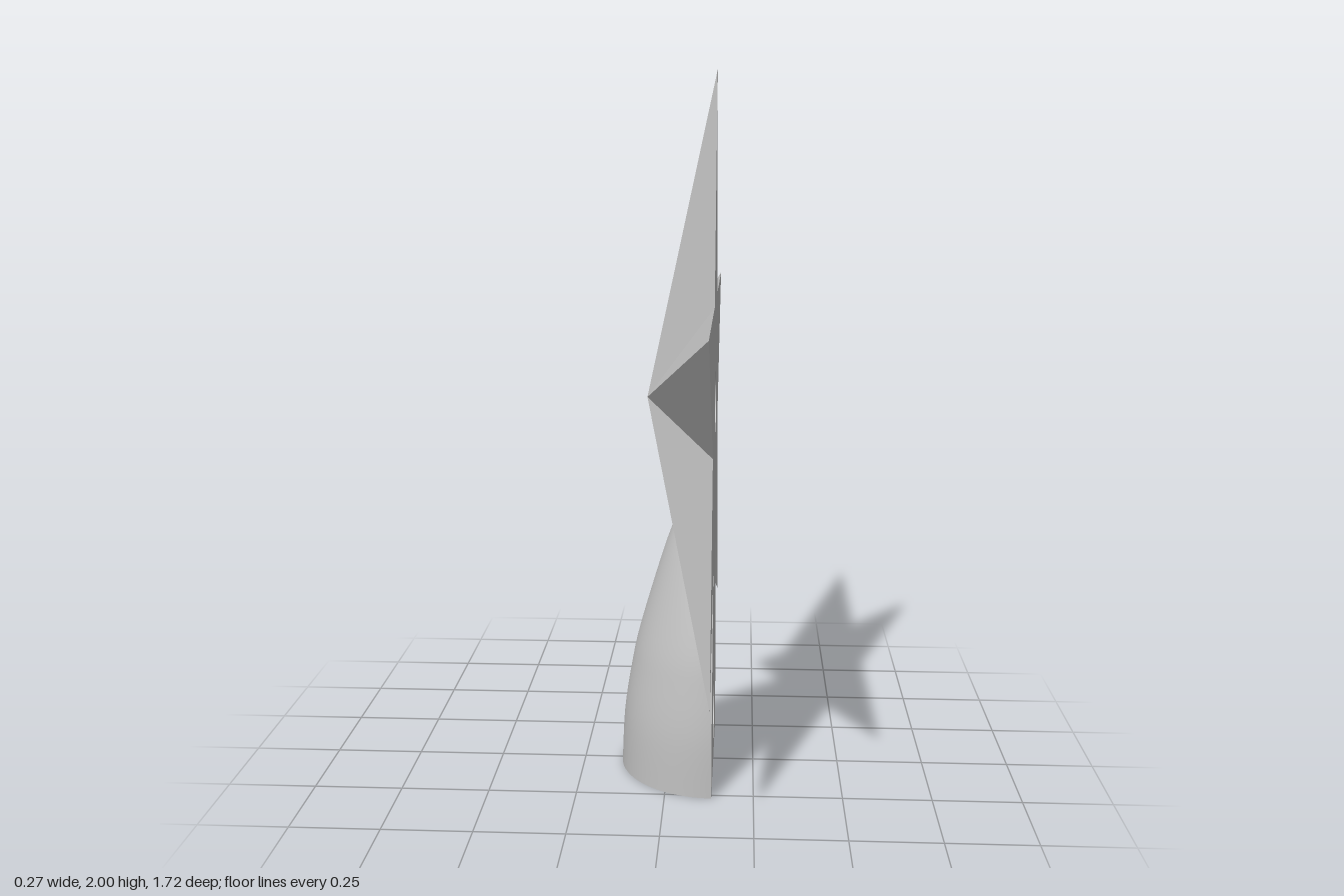
import * as THREE from 'three';
import { toCreasedNormals } from 'three/addons/utils/BufferGeometryUtils.js';

const BACK = 0.132;          // x of the flat mounting plane
const APEX_X = -0.062;       // raised centre of the star
const STAR_Y = 1.095, OUTER = 0.905, INNER = 0.345;
const HOLE_R = 0.087, HOLE_DEPTH = 0.08;
const HOLES = { star: 1.083, body: 0.155 };

export function createModel() {
  const group = new THREE.Group();
  const grey = new THREE.MeshStandardMaterial({ color: 0xbfbfbf });
  grey.name = 'plain grey';

  const add = (name, geometry) => {
    const mesh = new THREE.Mesh(geometry, grey);
    mesh.name = name;
    group.add(mesh);
    return mesh;
  };

  // Flat plate facing +x, pierced by one round hole
  const addBack = (name, points, holeY) => {
    const shape = new THREE.Shape(points);
    shape.holes.push(new THREE.Path().absarc(0, holeY, HOLE_R, 0, Math.PI * 2, true));
    const geometry = new THREE.ShapeGeometry(shape, 24);
    geometry.rotateY(Math.PI / 2);
    add(name, geometry).position.x = BACK;
  };

  // Blind round socket opening towards +x
  const addSocket = (name, y) => {
    const profile = [[HOLE_R, 0], [HOLE_R, -HOLE_DEPTH], [0, -HOLE_DEPTH]]
      .map(([r, h]) => new THREE.Vector2(r, h));
    const geometry = toCreasedNormals(new THREE.LatheGeometry(profile, 48), 0.7);
    geometry.rotateZ(-Math.PI / 2);
    add(name, geometry).position.set(BACK, y, 0);
  };

  // Five-pointed star: ten facets rising to a central apex
  const star = Array.from({ length: 10 }, (_, i) => {
    const a = Math.PI / 2 + i * Math.PI / 5;
    const r = i % 2 ? INNER : OUTER;
    return new THREE.Vector2(r * Math.cos(a), STAR_Y + r * Math.sin(a));
  });
  const facets = [];
  star.forEach((p, i) => {
    const q = star[(i + 1) % 10];
    facets.push(APEX_X, STAR_Y, 0, BACK, p.y, p.x, BACK, q.y, q.x);
  });
  const starGeometry = new THREE.BufferGeometry();
  starGeometry.setAttribute('position', new THREE.Float32BufferAttribute(facets, 3));
  starGeometry.computeVertexNormals();
  add('starFacets', starGeometry);
  addBack('starBack', star, HOLES.star);
  addSocket('starSocket', HOLES.star);

  // Half-round tapering stem, its tip buried in the star
  const curve = new THREE.SplineCurve([
    [0.27, 0], [0.262, 0.16], [0.241, 0.3], [0.215, 0.42],
    [0.15, 0.64], [0.104, 0.77], [0.04, 0.95],
  ].map(([r, y]) => new THREE.Vector2(r, y)));
  const profile = curve.getPoints(36);
  add('stem', new THREE.LatheGeometry(profile, 48, Math.PI, Math.PI)).position.x = BACK;

  // Half-disc foot
  const foot = new THREE.CircleGeometry(0.27, 48, Math.PI / 2, Math.PI);
  foot.rotateX(Math.PI / 2);
  add('foot', foot).position.x = BACK;

  // Stem back, ending along the star's lower edges
  const side = [...profile.filter((p) => p.y < 0.635), new THREE.Vector2(0.15, 0.64)];
  const mirrored = side.map((p) => new THREE.Vector2(-p.x, p.y)).reverse();
  addBack('stemBack', [...side, new THREE.Vector2(0, STAR_Y - INNER), ...mirrored], HOLES.body);
  addSocket('stemSocket', HOLES.body);

  return group;
}
